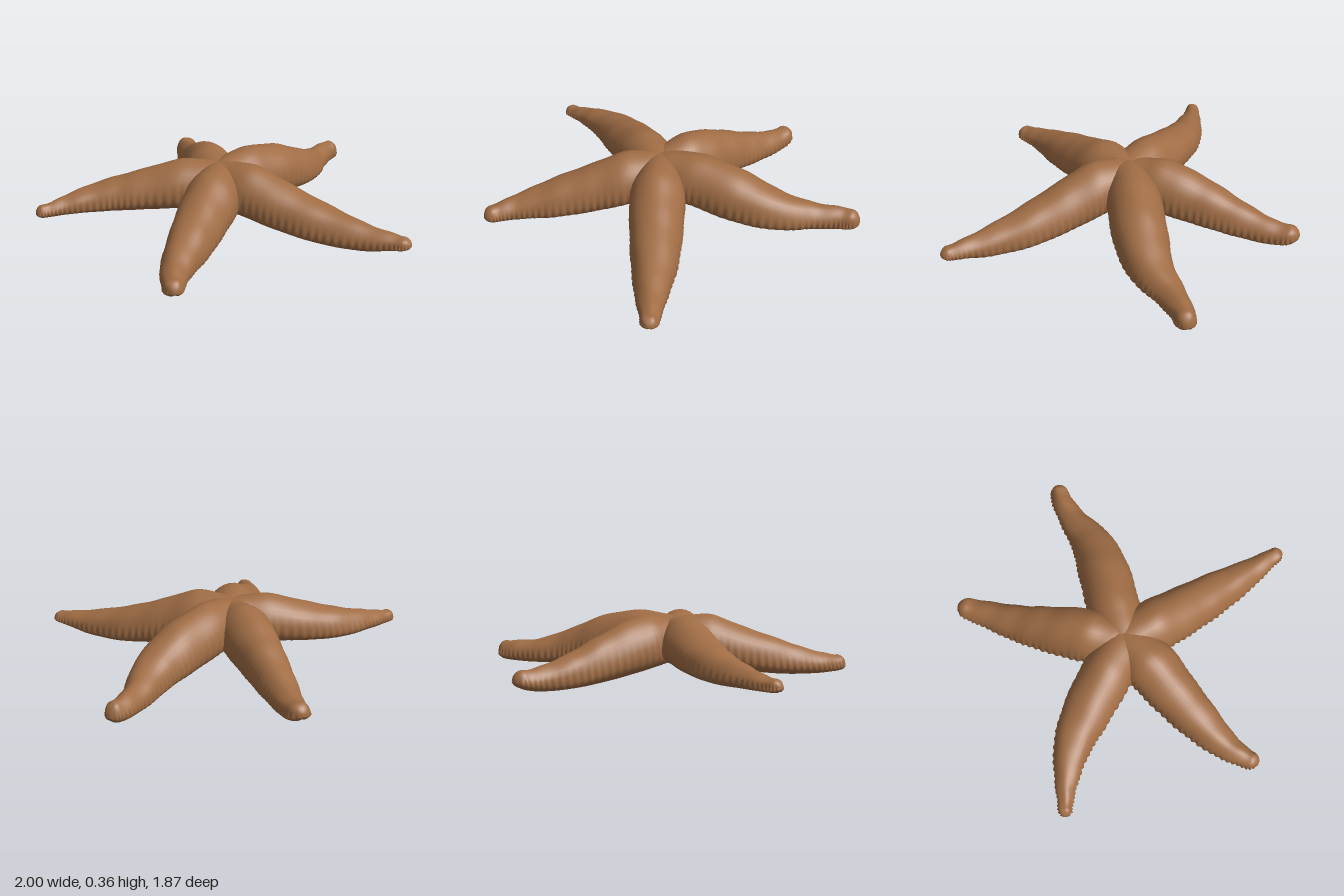
import * as THREE from 'three';

const RINGS = 200, SIDES = 32;

// Each station along an arm: x, z, half width, top height, bottom height
const ARMS = {
  backArm: [
    [-0.02, 0.12, 0.09, 0.32, 0.14], [0.0, 0.0, 0.13, 0.345, 0.1], [0.025, -0.18, 0.148, 0.365, 0.065],
    [0.06, -0.4, 0.125, 0.29, 0.03], [0.1, -0.6, 0.1, 0.2, 0.01],
    [0.145, -0.79, 0.072, 0.14, 0.012], [0.168, -0.93, 0.055, 0.135, 0.045]],
  leftArm: [
    [-0.1, 0.09, 0.09, 0.32, 0.14], [0.03, 0.05, 0.13, 0.35, 0.1], [0.2, -0.02, 0.148, 0.37, 0.085],
    [0.43, -0.1, 0.147, 0.325, 0.05], [0.62, -0.19, 0.122, 0.24, 0.035],
    [0.77, -0.315, 0.083, 0.17, 0.03], [0.9, -0.405, 0.06, 0.155, 0.035], [1.0, -0.445, 0.05, 0.15, 0.045]],
  rightArm: [
    [0.1, 0.09, 0.09, 0.32, 0.14], [-0.03, 0.05, 0.13, 0.345, 0.1], [-0.2, -0.02, 0.145, 0.355, 0.09],
    [-0.42, -0.11, 0.135, 0.29, 0.08], [-0.6, -0.163, 0.107, 0.24, 0.075],
    [-0.78, -0.175, 0.07, 0.195, 0.08], [-0.91, -0.17, 0.045, 0.16, 0.082], [-1.0, -0.16, 0.036, 0.15, 0.085]],
  frontRightArm: [
    [0.06, -0.05, 0.09, 0.32, 0.14], [-0.01, 0.07, 0.13, 0.345, 0.1], [-0.12, 0.22, 0.152, 0.355, 0.075],
    [-0.25, 0.365, 0.14, 0.285, 0.035], [-0.38, 0.52, 0.117, 0.215, 0.012],
    [-0.49, 0.66, 0.085, 0.15, 0.01], [-0.555, 0.78, 0.058, 0.115, 0.015], [-0.58, 0.87, 0.046, 0.105, 0.022]],
  frontLeftArm: [
    [-0.06, -0.05, 0.09, 0.32, 0.14], [0.01, 0.07, 0.13, 0.345, 0.1], [0.12, 0.22, 0.15, 0.36, 0.075],
    [0.255, 0.38, 0.142, 0.285, 0.035], [0.4, 0.55, 0.122, 0.21, 0.008],
    [0.54, 0.725, 0.085, 0.155, 0.012], [0.65, 0.855, 0.052, 0.13, 0.045], [0.71, 0.925, 0.042, 0.12, 0.06]],
};

// Domed fade of the section within distance r of an end
function dome(d, r) {
  const k = 1 - Math.min(d / r, 1);
  return Math.max(0.02, Math.sqrt(1 - k * k));
}

// Loft an arm with a domed back, a scalloped margin and a shallow groove underneath
function armGeometry(stations) {
  const path = new THREE.CatmullRomCurve3(stations.map(s => new THREE.Vector3(s[0], 0, s[1])), false, 'catmullrom');
  const size = new THREE.CatmullRomCurve3(stations.map(s => new THREE.Vector3(s[2], s[3], s[4])), false, 'catmullrom');
  const length = path.getLength();
  const tipRadius = stations[stations.length - 1][2] * 1.1;
  const positions = [], index = [];

  for (let i = 0; i <= RINGS; i++) {
    const t = 1 - Math.pow(1 - i / RINGS, 1.3);
    const p = path.getPoint(t), dir = path.getTangent(t), s = size.getPoint(t);
    const end = path.getPoint(1), start = path.getPoint(0);
    const fade = dome(p.distanceTo(end), tipRadius) * dome(p.distanceTo(start), 0.09);
    const mid = s.z + (s.y - s.z) * 0.37;
    const scallop = 0.005 * Math.sin((t * length / 0.034) * Math.PI * 2);

    for (let j = 0; j < SIDES; j++) {
      const a = (j / SIDES) * Math.PI * 2, c = Math.cos(a), n = Math.sin(a);
      const margin = Math.exp(-(((n + 0.2) / 0.35) ** 2));
      const wobble = 0.003 * Math.sin(t * 31 + a * 3) * Math.sin(t * 17 - a * 2);
      const w = (s.x + scallop * margin + wobble) * c * fade;
      const groove = n < 0 ? 0.02 * Math.exp(-((c / 0.25) ** 2)) * -n * Math.min(1, s.x / 0.1) : 0;
      const h = n >= 0 ? (s.y - mid + wobble) * n : -(mid - s.z) * Math.pow(-n, 0.8) + groove;
      positions.push(p.x + dir.z * w, mid + h * fade, p.z - dir.x * w);
    }
  }
  for (let i = 0; i < RINGS; i++) {
    for (let j = 0; j < SIDES; j++) {
      const k = (j + 1) % SIDES;
      const a = i * SIDES + j, b = i * SIDES + k, c = a + SIDES, d = b + SIDES;
      index.push(a, b, c, b, d, c);
    }
  }
  const geometry = new THREE.BufferGeometry();
  geometry.setAttribute('position', new THREE.Float32BufferAttribute(positions, 3));
  geometry.setIndex(index);
  geometry.computeVertexNormals();
  return geometry;
}

export function createModel() {
  const group = new THREE.Group();
  group.name = 'starfish';
  const skin = new THREE.MeshStandardMaterial({ color: 0xa06d45 });
  skin.name = 'brown skin';

  // Five arms that merge at the centre
  for (const [name, stations] of Object.entries(ARMS)) {
    const arm = new THREE.Mesh(armGeometry(stations), skin);
    arm.name = name;
    group.add(arm);
  }

  // Central body filling the space between the arm roots
  const body = new THREE.Mesh(new THREE.SphereGeometry(1, 32, 20), skin);
  body.name = 'centralDisc';
  body.scale.set(0.21, 0.115, 0.21);
  body.position.set(0, 0.2, 0.05);
  group.add(body);
  return group;
}
